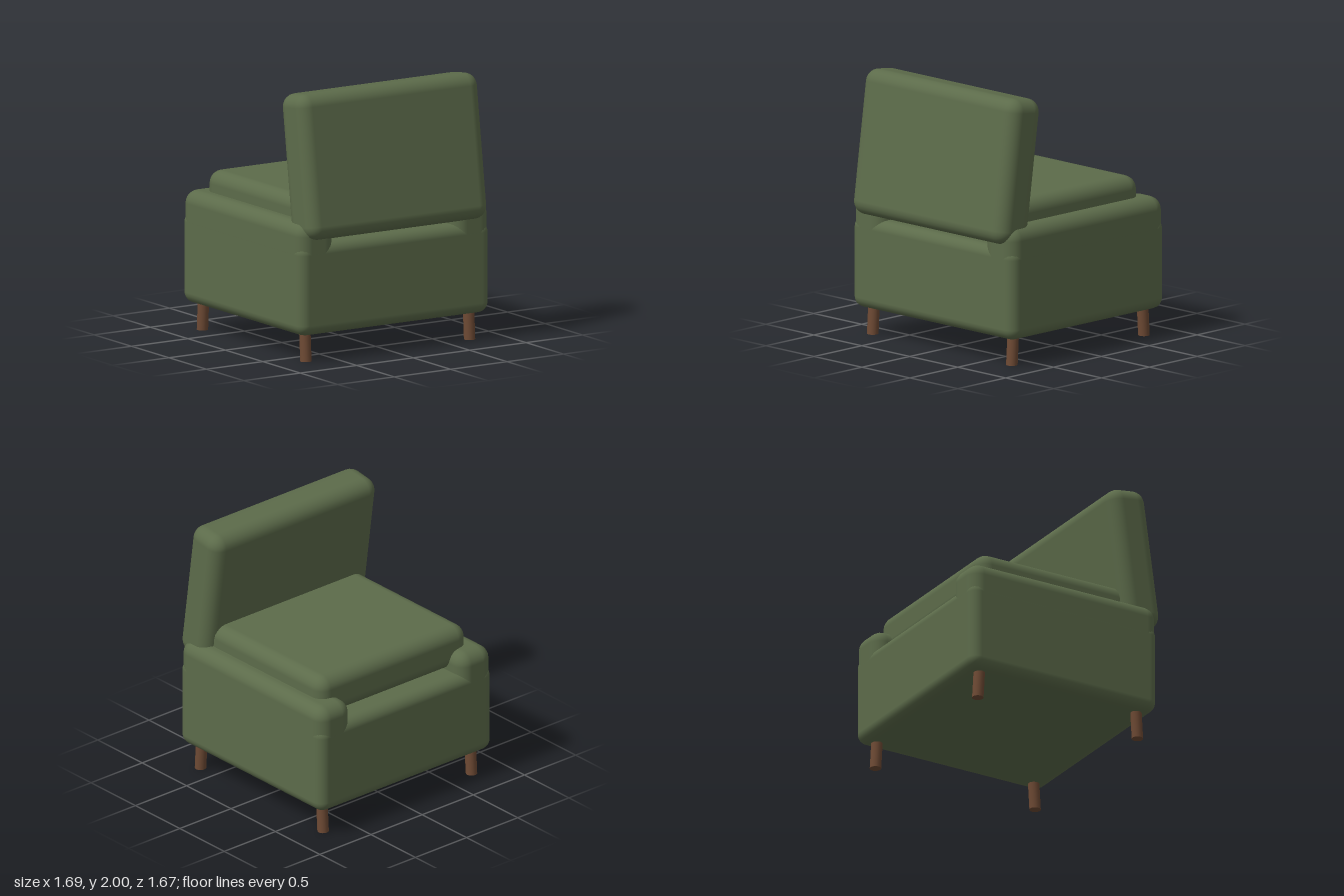
import * as THREE from 'three';
import { RoundedBoxGeometry } from 'three/addons/geometries/RoundedBoxGeometry.js';

export function createModel() {
  const model = new THREE.Group();
  model.name = 'loungeChair';

  const fabric = new THREE.MeshStandardMaterial({ color: 0x5c6b4a });
  fabric.name = 'greenFabric';
  const wood = new THREE.MeshStandardMaterial({ color: 0x6e4a34 });
  wood.name = 'brownWood';

  // Upholstered block given by its extents on each axis
  function pad(name, [x0, x1], [y0, y1], [z0, z1], radius) {
    const geometry = new RoundedBoxGeometry(x1 - x0, y1 - y0, z1 - z0, 3, radius);
    const mesh = new THREE.Mesh(geometry, fabric);
    mesh.name = name;
    mesh.position.set((x0 + x1) / 2, (y0 + y1) / 2, (z0 + z1) / 2);
    model.add(mesh);
    return mesh;
  }

  // Body and seat; the sitter faces -z
  pad('base', [-0.845, 0.845], [0.205, 0.895], [-0.835, 0.775], 0.08);
  pad('seatCushion', [-0.725, 0.725], [0.895, 1.215], [-0.695, 0.6], 0.1);

  // Leaning backrest
  const back = pad('backrest', [-0.8, 0.8], [0.91, 2.0], [0.4575, 0.7775], 0.1);
  back.rotation.x = THREE.MathUtils.degToRad(-8);

  // Low armrests
  pad('leftArm', [0.53, 0.845], [0.72, 1.055], [-0.835, 0.775], 0.1);
  pad('rightArm', [-0.845, -0.53], [0.72, 1.055], [-0.835, 0.775], 0.1);

  // Legs splayed slightly along z, sheared so the feet stay flat
  for (const x of [-0.725, 0.725]) {
    for (const [zFoot, splay] of [[0.66, 1], [-0.72, -1]]) {
      const geometry = new THREE.CylinderGeometry(0.043, 0.043, 0.24, 16);
      geometry.translate(0, 0.12, 0);
      geometry.applyMatrix4(new THREE.Matrix4().set(
        1, 0, 0, 0,
        0, 1, 0, 0,
        0, -0.06 * splay, 1, 0,
        0, 0, 0, 1
      ));
      const leg = new THREE.Mesh(geometry, wood);
      leg.name = 'leg';
      leg.position.set(x, 0, zFoot);
      model.add(leg);
    }
  }

  return model;
}
